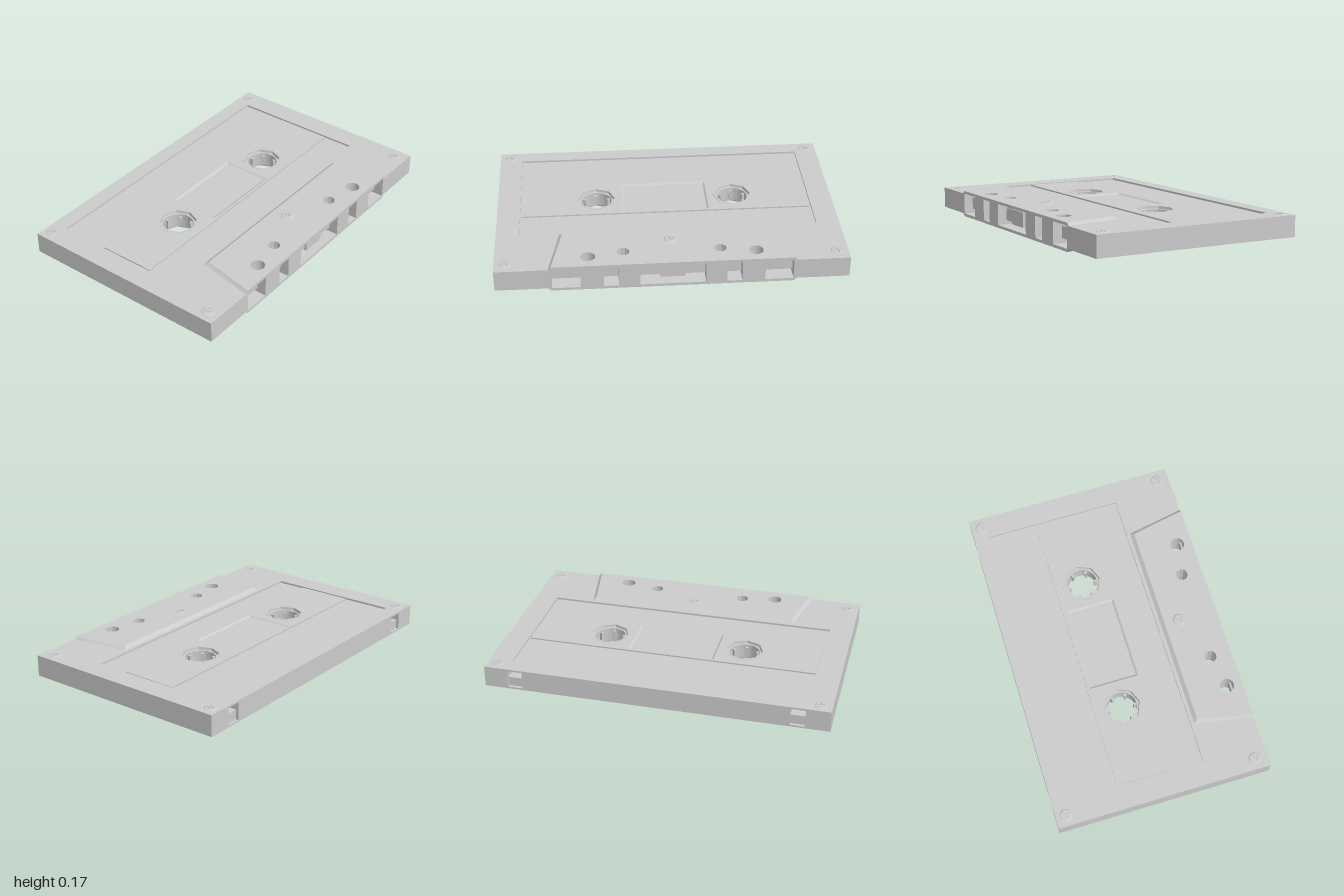
import * as THREE from 'three';

const MID = 0.084;            // height of the seam between the two halves
const mat = new THREE.MeshStandardMaterial({ color: 0xcccccc, flatShading: true });
const HUB_X = 0.41, HUB_Z = -0.08;

const mesh = (name, geo, parent, x = 0, y = 0, z = 0) => {
  const m = new THREE.Mesh(geo, mat);
  m.name = name;
  m.position.set(x, y, z);
  parent.add(m);
  return m;
};
const box = (name, parent, w, h, d, x, y, z) =>
  mesh(name, new THREE.BoxGeometry(w, h, d), parent, x, y, z);

const pts = list => list.map(p => new THREE.Vector2(...p));
const rect = (x0, x1, z0, z1) => pts([[x0, z0], [x1, z0], [x1, z1], [x0, z1]]);
const ngon = (x, z, r, n) => Array.from({ length: n }, (_, i) => {
  const a = i / n * Math.PI * 2;
  return new THREE.Vector2(x + r * Math.cos(a), z + r * Math.sin(a));
});

// Plate drawn in x/z, filling heights y0..y1; the rule may move its vertices
function plate(outline, holes, y0, y1, rule) {
  const shape = new THREE.Shape(outline);
  shape.holes = holes.map(h => new THREE.Path(h));
  const g = new THREE.ExtrudeGeometry(shape, { depth: y1 - y0, bevelEnabled: false });
  g.rotateX(Math.PI / 2).translate(0, y1, 0);
  if (rule) {
    const p = g.attributes.position, v = new THREE.Vector3();
    for (let i = 0; i < p.count; i++) {
      v.fromBufferAttribute(p, i);
      rule(v, v.y > (y0 + y1) / 2);
      p.setXYZ(i, v.x, v.y, v.z);
    }
    g.computeVertexNormals();
  }
  return g;
}

// Body outline with head openings in front and optional tab notches behind
function bodyOutline(backNotches) {
  const list = [[-1, 0.635]];
  for (const [a, b] of [[-0.68, -0.52], [-0.39, -0.305], [-0.185, 0.185], [0.305, 0.39], [0.52, 0.68]])
    list.push([a, 0.635], [a, 0.545], [b, 0.545], [b, 0.635]);
  list.push([1, 0.635], [1, -0.635]);
  if (backNotches)
    for (const [a, b] of [[0.86, 0.775], [-0.775, -0.86]])
      list.push([a, -0.635], [a, -0.555], [b, -0.555], [b, -0.635]);
  list.push([-1, -0.635]);
  return pts(list);
}

// Domed screw head with a cross slot
function screw(parent, x, z, y, r, h) {
  const a = 0.004, b = r * 0.55;
  const cross = pts([[a, a], [b, a], [b, -a], [a, -a], [a, -b], [-a, -b],
    [-a, -a], [-b, -a], [-b, a], [-a, a], [-a, b], [a, b]]);
  const geo = plate(ngon(0, 0, r, 16), [cross], 0, h, (v, top) => {
    if (top && Math.hypot(v.x, v.z) > r * 0.9) { v.x *= 0.78; v.z *= 0.78; }
  });
  mesh('screw', geo, parent, x, y, z).rotation.y = 0.4;
}

function createHalf() {
  const half = new THREE.Group();
  const pins = [-1, 1].flatMap(s => [ngon(s * 0.475, 0.545, 0.042, 16), ngon(s * 0.275, 0.51, 0.036, 10)]);
  const hubHoles = [-1, 1].map(s => ngon(s * HUB_X, HUB_Z, 0.117, 8));

  // Shell: core, then the rim that frames the sunken label area
  mesh('shellCore', plate(bodyOutline(true), [...pins, ...hubHoles], 0, 0.051), half);
  mesh('shellRim', plate(bodyOutline(false), [...pins, rect(-0.865, 0.865, -0.54, 0.27)], 0.051, 0.0625), half);

  // Middle panel with a window whose edges slope inwards
  const panel = plate(rect(-0.856, 0.856, -0.248, 0.086), [...hubHoles, rect(-0.255, 0.255, -0.232, 0.068)],
    0.051, 0.0595, (v, top) => {
      if (!top && Math.abs(v.x) < 0.26) {
        v.x *= 0.955;
        v.z += v.z < -0.08 ? 0.012 : -0.012;
      }
    });
  mesh('windowPanel', panel, half);

  // Thickened head section, chamfered at its rear and sides
  const head = plate(pts([[-0.635, 0.292], [0.635, 0.292], [0.7, 0.635], [-0.7, 0.635]]), pins,
    0.0625, 0.079, (v, top) => {
      if (top && Math.abs(v.x) > 0.6) {
        v.x -= Math.sign(v.x) * 0.017;
        if (v.z < 0.3) v.z += 0.022;
      }
    });
  mesh('headSection', head, half);

  // Eight-sided collars round the hub holes
  const profile = pts([[0.1, 0.035], [0.106, 0.046], [0.108, 0.06], [0.12, 0.0605], [0.12, 0.05]]).reverse();
  const collar = new THREE.LatheGeometry(profile, 8);
  for (const s of [-1, 1]) {
    const m = mesh('hubCollar', collar, half, s * HUB_X, 0, HUB_Z);
    m.material = mat.clone();
    m.material.side = THREE.DoubleSide;
    for (const z of [-0.575, 0.56]) screw(half, s * 0.935, z, 0.0615, 0.038, 0.005);
  }
  screw(half, 0, 0.405, 0.078, 0.04, 0.006);
  return half;
}

export function createModel() {
  const model = new THREE.Group();
  model.name = 'cassette';

  const upper = createHalf();
  upper.name = 'upperHalf';
  const lower = createHalf();
  lower.name = 'lowerHalf';
  lower.rotation.z = Math.PI;
  upper.position.y = lower.position.y = MID;
  model.add(upper, lower);

  // Hubs with six drive teeth
  const ring = pts([[0.09, -0.042], [0.109, -0.042], [0.109, 0.042], [0.09, 0.042], [0.09, -0.042]]);
  for (const s of [-1, 1]) {
    const hub = new THREE.Group();
    hub.name = 'hub';
    hub.position.set(s * HUB_X, MID, HUB_Z);
    const ringMesh = mesh('hubRing', new THREE.LatheGeometry(ring, 24), hub);
    ringMesh.material = mat.clone();
    ringMesh.material.side = THREE.DoubleSide;
    for (let i = 0; i < 6; i++) {
      const a = Math.PI / 6 + i * Math.PI / 3;
      box('tooth', hub, 0.02, 0.06, 0.014, 0.082 * Math.cos(a), 0, 0.082 * Math.sin(a)).rotation.y = -a;
    }
    model.add(hub);
    // Write-protect tab inside the back notch
    box('protectTab', model, 0.085, 0.055, 0.06, s * 0.8175, MID - 0.022, -0.59);
  }

  // Tape run, pressure pad and its holder behind the front openings
  box('tape', model, 1.36, 0.07, 0.01, 0, MID, 0.575);
  box('padHolder', model, 0.37, 0.08, 0.012, 0, MID, 0.568);
  box('pressurePad', model, 0.14, 0.09, 0.03, 0, MID, 0.58);
  return model;
}
